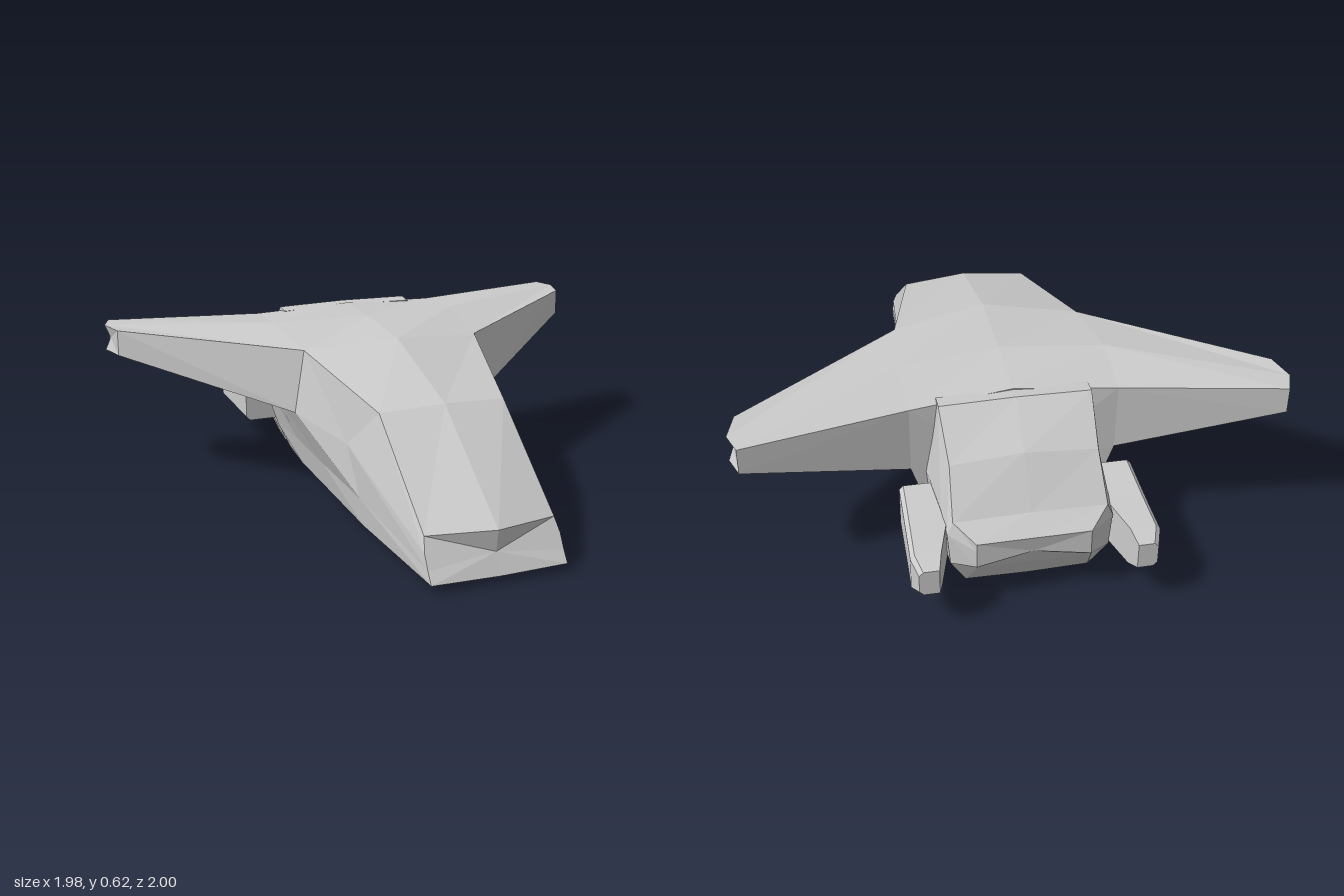
import * as THREE from 'three';

const material = new THREE.MeshStandardMaterial({ color: 0xcccccc, flatShading: true });

// Closed solid through rings of points with equal counts; ends are fanned shut.
function loft(name, rings) {
  const n = rings[0].length;
  const centre = (ring) => [0, 1, 2].map((k) => ring.reduce((s, p) => s + p[k], 0) / n);
  const tris = [];
  rings.forEach((a, i) => {
    const b = rings[i + 1];
    if (!b) return;
    for (let j = 0; j < n; j++) {
      const k = (j + 1) % n;
      tris.push([a[j], b[j], b[k]], [a[j], b[k], a[k]]);
    }
  });
  const first = rings[0], last = rings[rings.length - 1];
  const c0 = centre(first), c1 = centre(last);
  for (let j = 0; j < n; j++) {
    const k = (j + 1) % n;
    tris.push([c0, first[j], first[k]], [c1, last[k], last[j]]);
  }
  // Signed volume tells which way the faces point
  const v = (p) => new THREE.Vector3(...p);
  const volume = tris.reduce((s, [a, b, c]) => s + v(a).dot(v(b).cross(v(c))), 0);
  if (volume < 0) tris.forEach((t) => t.reverse());
  const geometry = new THREE.BufferGeometry();
  geometry.setAttribute('position', new THREE.Float32BufferAttribute(tris.flat(2), 3));
  geometry.computeVertexNormals();
  const mesh = new THREE.Mesh(geometry, material);
  mesh.name = name;
  return mesh;
}

const mirror = ([x, y, z]) => [-x, y, z];
// Half profile from top centre to bottom centre, completed across x = 0
const symmetric = (half) => [...half, ...half.slice(1, -1).reverse().map(mirror)];

export function createModel() {
  const model = new THREE.Group();
  model.name = 'spacecraft';

  // Main hull, nose to stern
  model.add(loft('hull', [
    [[0, 0.18, 0.975], [0.24, 0.17, 0.91], [0.25, 0.12, 0.94], [0.25, 0.07, 0.97], [0.25, 0.03, 1], [0, 0.025, 1]],
    [[0, 0.485, 0.52], [0.24, 0.47, 0.5], [0.3, 0.31, 0.33], [0.285, 0.13, 0.42], [0.27, 0.02, 0.42], [0, 0.004, 0.42]],
    [[0, 0.61, 0.07], [0.35, 0.58, 0], [0.39, 0.34, 0], [0.3, 0.14, 0.05], [0.27, 0.02, 0], [0, 0, 0]],
    [[0, 0.625, -0.25], [0.38, 0.62, -0.3], [0.37, 0.31, -0.3], [0.3, 0.14, -0.27], [0.27, 0.02, -0.3], [0, 0, -0.3]],
    [[0, 0.62, -0.51], [0.37, 0.6, -0.545], [0.37, 0.34, -0.54], [0.3, 0.12, -0.53], [0.26, 0.025, -0.5], [0, 0.004, -0.5]],
  ].map(symmetric)));

  // Engine block behind the hull
  model.add(loft('engineBlock', [
    [[0, 0.615, -0.5], [0.27, 0.61, -0.5], [0.32, 0.32, -0.5], [0.29, 0.13, -0.5], [0.24, 0.06, -0.5], [0, 0.04, -0.5]],
    [[0, 0.62, -0.56], [0.27, 0.615, -0.56], [0.31, 0.32, -0.58], [0.29, 0.13, -0.58], [0.25, 0.02, -0.6], [0, 0.005, -0.6]],
    [[0, 0.5, -0.72], [0.26, 0.48, -0.72], [0.295, 0.31, -0.74], [0.285, 0.14, -0.74], [0.24, 0.025, -0.72], [0, 0.012, -0.72]],
    [[0, 0.335, -0.84], [0.27, 0.33, -0.84], [0.29, 0.28, -0.84], [0.28, 0.15, -0.84], [0.22, 0.03, -0.8], [0, 0.025, -0.8]],
    [[0, 0.28, -0.91], [0.2, 0.28, -0.91], [0.2, 0.25, -0.91], [0.2, 0.18, -0.91], [0.19, 0.14, -0.87], [0, 0.14, -0.87]],
  ].map(symmetric)));

  // Swept wing: root and tip rings, leading edge back over the top, then underneath
  const wing = [
    [[0.35, 0.58, 0], [0.38, 0.62, -0.3], [0.37, 0.6, -0.545], [0.37, 0.34, -0.54], [0.38, 0.31, -0.3], [0.39, 0.34, 0]],
    [[0.96, 0.6, -0.47], [0.99, 0.6, -0.58], [0.96, 0.6, -0.66], [0.96, 0.5, -0.66], [0.99, 0.5, -0.58], [0.96, 0.5, -0.47]],
  ];

  // Thruster pod: z, inner x, outer x, bottom, top
  const pod = [
    [-0.59, 0.26, 0.42, 0.13, 0.31],
    [-0.78, 0.28, 0.425, 0.135, 0.3],
    [-0.94, 0.325, 0.43, 0.14, 0.295],
    [-1.0, 0.34, 0.41, 0.17, 0.27],
  ].map(([z, xi, xo, y0, y1]) => {
    const c = 0.015;
    return [[xi, y0, z], [xo - c, y0, z], [xo, y0 + c, z], [xo, y1 - c, z], [xo - c, y1, z], [xi, y1, z]];
  });

  for (const [side, place] of [['left', (p) => p], ['right', mirror]]) {
    model.add(loft(side + 'Wing', wing.map((ring) => ring.map(place))));
    model.add(loft(side + 'Thruster', pod.map((ring) => ring.map(place))));
  }
  return model;
}
